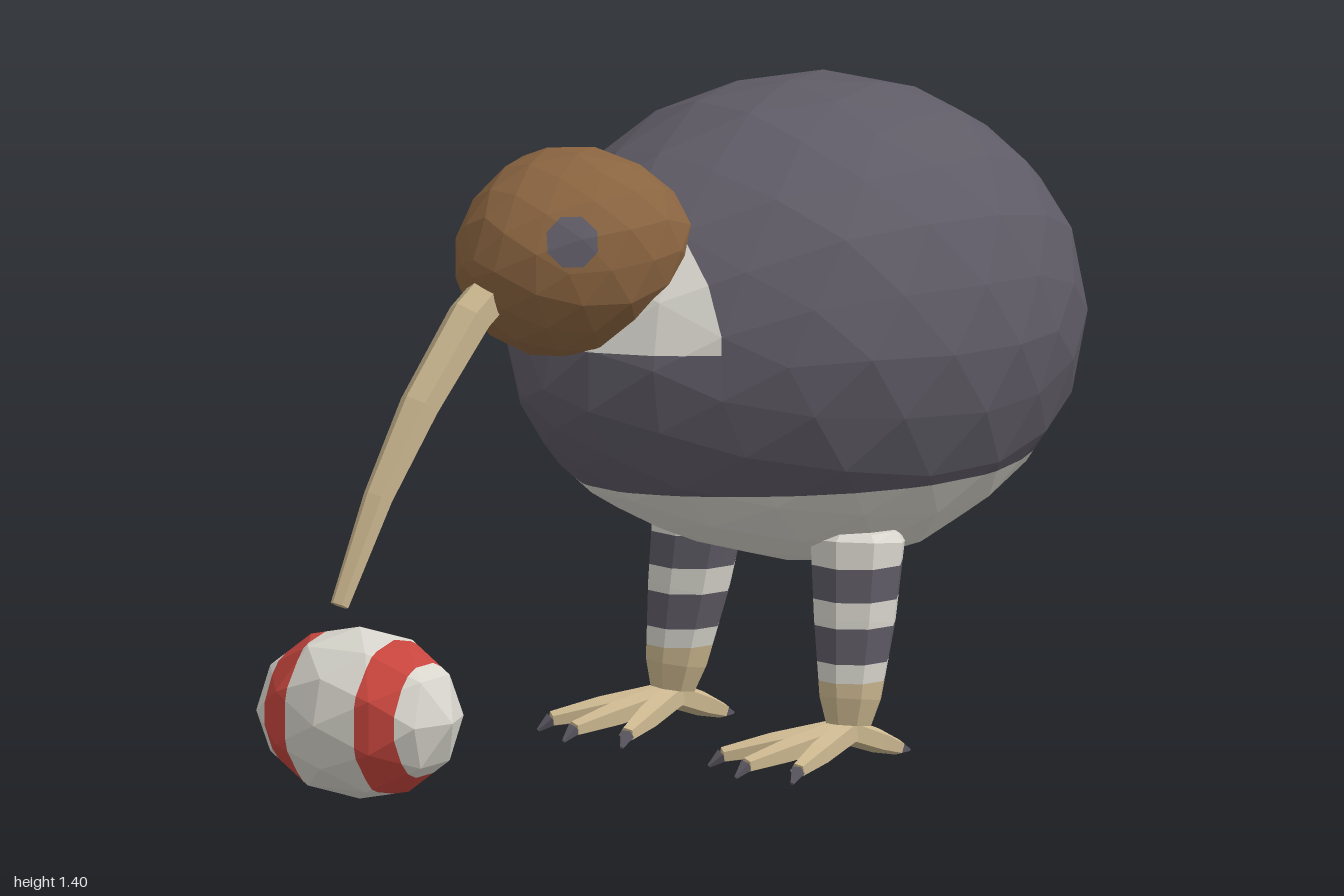
import * as THREE from 'three';

const V = (x, y, z) => new THREE.Vector3(x, y, z);
const material = (name, color) => {
  const m = new THREE.MeshStandardMaterial({ color });
  m.name = name;
  return m;
};

// Triangles are kept as lists of three corners so parts can be cut into colours.
function triangles(geometry) {
  const p = (geometry.index ? geometry.toNonIndexed() : geometry).attributes.position;
  const tris = [];
  for (let i = 0; i < p.count; i += 3) {
    tris.push([0, 1, 2].map((k) => new THREE.Vector3().fromBufferAttribute(p, i + k)));
  }
  return tris;
}

// Cut along the plane n.p = d; returns [side n points to, other side].
function split(tris, n, d) {
  const clip = (sign) => tris.flatMap((tri) => {
    const poly = [];
    tri.forEach((a, i) => {
      const b = tri[(i + 1) % 3];
      const da = sign * (n.dot(a) - d), db = sign * (n.dot(b) - d);
      if (da >= 0) poly.push(a);
      if (da * db < 0) poly.push(a.clone().lerp(b, da / (da - db)));
    });
    return poly.slice(2).map((c, i) => [poly[0], poly[i + 1], c]);
  });
  return [clip(1), clip(-1)];
}

// Faceted mesh from triangles.
function add(group, name, tris, mat) {
  const g = new THREE.BufferGeometry().setFromPoints(tris.flat());
  g.computeVertexNormals();
  const mesh = new THREE.Mesh(g, mat);
  mesh.name = name;
  group.add(mesh);
}

// Faceted ball shaped by rows of [z, halfWidth, bottom, top].
function shell(rows, detail) {
  const g = new THREE.IcosahedronGeometry(1, detail);
  const p = g.attributes.position;
  const z0 = rows[0][0], z1 = rows[rows.length - 1][0];
  for (let i = 0; i < p.count; i++) {
    const z = THREE.MathUtils.clamp(z0 + (z1 - z0) * (p.getZ(i) + 1) / 2, z0, z1);
    const k = Math.max(1, rows.findIndex((r) => r[0] >= z - 1e-9));
    const t = (z - rows[k - 1][0]) / (rows[k][0] - rows[k - 1][0]);
    const [, w, lo, hi] = rows[k].map((v, j) => THREE.MathUtils.lerp(rows[k - 1][j], v, t));
    const a = Math.atan2(p.getY(i), p.getX(i));
    p.setXYZ(i, Math.cos(a) * w, (lo + hi) / 2 + Math.sin(a) * (hi - lo) / 2, z);
  }
  return triangles(g);
}

// Closed tapered limb along a path.
function limb(points, radii, sides) {
  const rings = points.map((p, i) => {
    const t = points[Math.min(i + 1, points.length - 1)].clone().sub(points[Math.max(i - 1, 0)]).normalize();
    const u = V(1, 0, 0).addScaledVector(t, -t.x).normalize();
    const v = t.clone().cross(u);
    return Array.from({ length: sides }, (_, k) => {
      const a = (k + 0.5) / sides * Math.PI * 2;
      return p.clone().addScaledVector(u, Math.cos(a) * radii[i]).addScaledVector(v, Math.sin(a) * radii[i]);
    });
  });
  const tris = [], last = points.length - 1;
  for (let k = 0; k < sides; k++) {
    const m = (k + 1) % sides;
    for (let i = 0; i < last; i++) {
      const [a, b, c, d] = [rings[i][k], rings[i][m], rings[i + 1][m], rings[i + 1][k]];
      tris.push([a, b, c], [a, c, d]);
    }
    tris.push([points[0], rings[0][m], rings[0][k]], [points[last], rings[last][k], rings[last][m]]);
  }
  return tris;
}

export function createModel() {
  const root = new THREE.Group();
  root.name = 'bird with egg';
  const dark = material('dark feathers', 0x5f5b66);
  const pale = material('pale feathers', 0xd8d6cd);
  const brown = material('brown head', 0x8a6440);
  const tan = material('tan beak and feet', 0xcbb78f);
  const red = material('red stripe', 0xc8463e);
  const up = V(0, 1, 0);

  // Body: pale belly below, pale throat in front of the neck
  const body = shell([
    [-1, 0, 0.92, 0.92], [-0.98, 0.15, 0.73, 1.08], [-0.93, 0.26, 0.62, 1.15],
    [-0.85, 0.345, 0.53, 1.235], [-0.7, 0.44, 0.44, 1.335], [-0.5, 0.517, 0.38, 1.395],
    [-0.3, 0.528, 0.385, 1.4], [-0.1, 0.49, 0.44, 1.365], [0.05, 0.395, 0.505, 1.28],
    [0.15, 0.315, 0.56, 1.22], [0.25, 0.235, 0.65, 1.13], [0.32, 0.13, 0.73, 0.99], [0.355, 0, 0.83, 0.83],
  ], 3);
  const [upper, belly] = split(body, up, 0.6);
  const [shoulders, lowerBody] = split(upper, up, 0.92);
  const [throat, back] = split(shoulders, V(0, 0, 1), 0.14);
  add(root, 'body', [...lowerBody, ...back], dark);
  add(root, 'belly', belly, pale);
  add(root, 'throat', throat, pale);

  // Head, with eight-sided eyes cut into its surface
  let head = shell([
    [0.05, 0, 1.14, 1.14], [0.08, 0.17, 1.03, 1.25], [0.13, 0.215, 0.98, 1.29], [0.2, 0.232, 0.94, 1.325],
    [0.3, 0.232, 0.895, 1.335], [0.4, 0.195, 0.91, 1.31], [0.48, 0.14, 0.955, 1.26],
    [0.53, 0.08, 1.02, 1.2], [0.555, 0, 1.11, 1.11],
  ], 2);
  const eyes = [];
  for (const s of [1, -1]) {
    const centre = V(0.15 * s, 1.17, 0.41), axis = V(0.8 * s, 0.25, 0.55).normalize();
    const u = up.clone().cross(axis).normalize(), v = axis.clone().cross(u);
    let [inside, outside] = split(head, axis, axis.dot(V(0, 1.12, 0.3)));
    for (let k = 0; k < 8; k++) {
      const a = k / 8 * Math.PI * 2;
      const n = u.clone().multiplyScalar(Math.cos(a)).addScaledVector(v, Math.sin(a));
      const [out, within] = split(inside, n, n.dot(centre) + 0.053);
      outside = outside.concat(out);
      inside = within;
    }
    eyes.push(...inside);
    head = outside;
  }
  add(root, 'head', head, brown);
  add(root, 'eyes', eyes, dark);

  // Long curved beak
  add(root, 'beak', limb(
    [V(0, 1.07, 0.48), V(0, 1.01, 0.56), V(0, 0.84, 0.7), V(0, 0.66, 0.815), V(0, 0.445, 0.922)],
    [0.048, 0.048, 0.043, 0.032, 0.02], 6), tan);

  // Striped legs and clawed feet
  for (const s of [1, -1]) {
    const leg = new THREE.Group();
    leg.name = s > 0 ? 'leftLeg' : 'rightLeg';
    root.add(leg);
    let rest = limb(
      [V(0.247 * s, 0.49, -0.3), V(0.247 * s, 0.465, -0.3), V(0.26 * s, 0.3, -0.28), V(0.272 * s, 0.14, -0.257), V(0.275 * s, 0.085, -0.25)],
      [0.085, 0.104, 0.09, 0.068, 0.05], 8);
    [0.42, 0.35, 0.295, 0.22, 0.18].forEach((y, i) => {
      const [above, below] = split(rest, up, y);
      add(leg, 'legBand', above, i % 2 ? dark : pale);
      rest = below;
    });
    add(leg, 'ankle', rest, tan);
    const ankle = V(0.272 * s, 0.07, -0.25);
    for (const [x, z] of [[0.15, -0.01], [0.27, 0.03], [0.385, -0.01], [0.275, -0.39]]) {
      const tip = V(x * s, z > -0.1 ? 0.032 : 0.018, z);
      const mid = ankle.clone().lerp(tip, 0.6);
      add(leg, 'toe', limb([ankle, mid, tip], [0.03, 0.027, 0.017], 5), tan);
      const end = tip.clone().add(tip.clone().sub(ankle).setLength(0.03));
      end.y = 0.01;
      add(leg, 'claw', limb([tip, end], [0.016, 0.004], 5), dark);
    }
  }

  // Striped egg, turned slightly away
  const egg = new THREE.Group();
  egg.name = 'egg';
  egg.position.set(-0.045, 0.2, 0.825);
  egg.rotation.y = 0.27;
  root.add(egg);
  let rest = triangles(new THREE.IcosahedronGeometry(1, 1).scale(0.23, 0.182, 0.18));
  [0.16, 0.085, -0.085, -0.16].forEach((x, i) => {
    const [right, left] = split(rest, V(1, 0, 0), x);
    add(egg, i % 2 ? 'eggStripe' : 'eggShell', right, i % 2 ? red : pale);
    rest = left;
  });
  add(egg, 'eggShell', rest, pale);
  return root;
}
